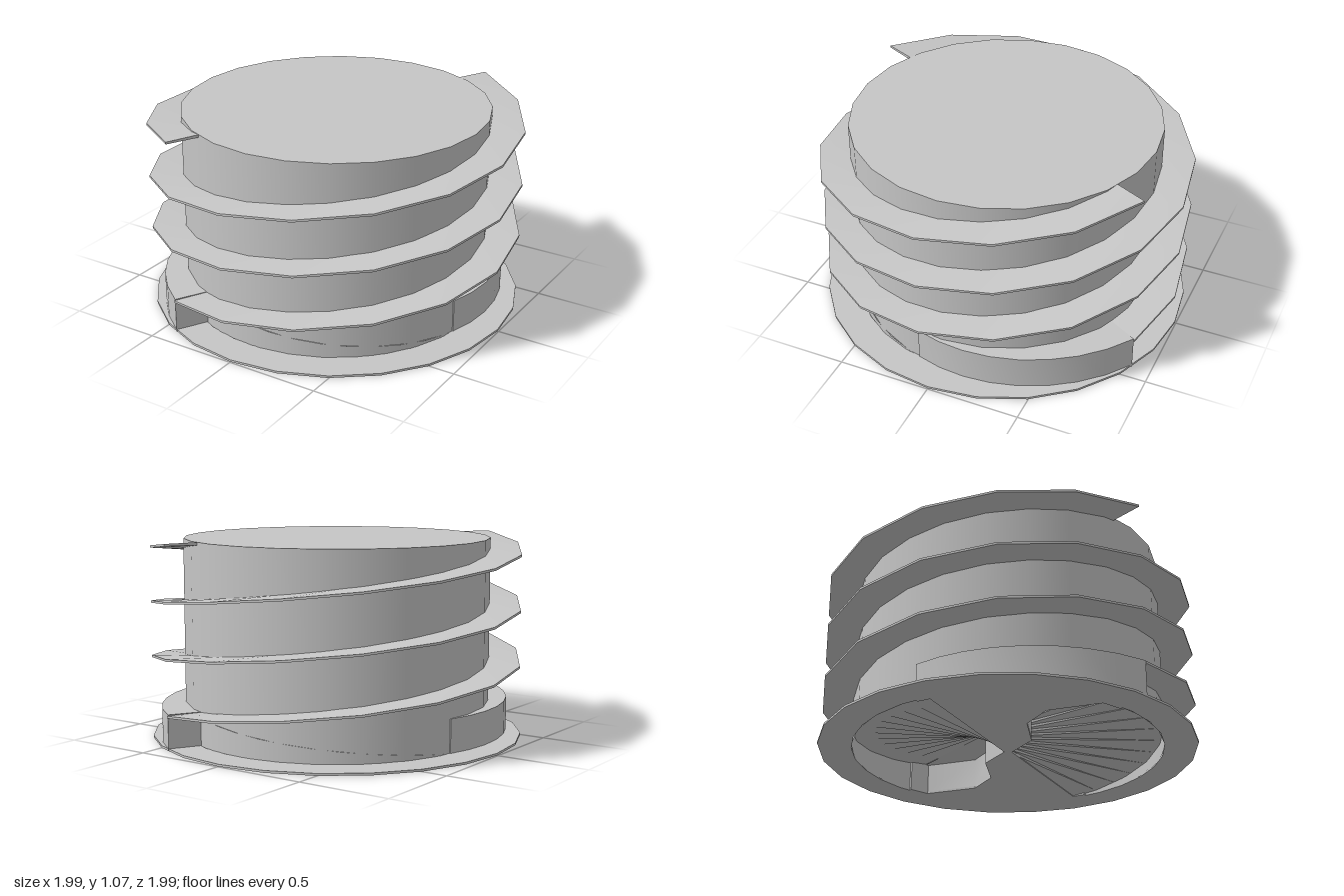
import * as THREE from 'three';
import { toCreasedNormals } from 'three/addons/utils/BufferGeometryUtils.js';

const CORE = 0.82, OUTER = 0.995, HEIGHT = 1.065;
const rad = THREE.MathUtils.degToRad;
// angle 0 is the front, growing towards +x
const polar = (deg, r, y = 0) => [r * Math.sin(rad(deg)), y, r * Math.cos(rad(deg))];

// geometry from a list of four-cornered faces
function quads(faces, crease = 0.5) {
  const pos = [];
  for (const [a, b, c, d] of faces) pos.push(...a, ...b, ...c, ...a, ...c, ...d);
  const geo = new THREE.BufferGeometry();
  geo.setAttribute('position', new THREE.Float32BufferAttribute(pos, 3));
  geo.computeVertexNormals();
  return toCreasedNormals(geo, crease);
}

// flat outline in x and z, extruded upwards
function plate(points, height, holes = []) {
  const v2 = (list) => list.map(([x, , z]) => new THREE.Vector2(x, -z));
  const shape = new THREE.Shape(v2(points));
  for (const h of holes) shape.holes.push(new THREE.Path(v2(h)));
  const geo = new THREE.ExtrudeGeometry(shape, { depth: height, bevelEnabled: false });
  geo.rotateX(-Math.PI / 2);
  return toCreasedNormals(geo, 0.5);
}

function arc(from, to, steps, radius) {
  const out = [];
  for (let i = 0; i <= steps; i++) {
    const t = i / steps;
    out.push(polar(from + (to - from) * t, radius(t)));
  }
  return out;
}

// thin helical blade, one and a half turns
function helixGeometry() {
  const steps = 24, rows = [], faces = [];
  for (let i = 0; i <= steps; i++) {
    const t = i / steps, a = -25 + 540 * t, y = 0.178 + 0.879 * t;
    rows.push([
      polar(a, CORE - 0.03, y - 0.008), polar(a, OUTER, y - 0.006),
      polar(a, OUTER, y + 0.006), polar(a, CORE - 0.03, y + 0.008),
    ]);
  }
  for (let i = 0; i < steps; i++) {
    for (let k = 0; k < 4; k++) {
      const n = (k + 1) % 4;
      faces.push([rows[i][k], rows[i + 1][k], rows[i + 1][n], rows[i][n]]);
    }
  }
  faces.push(rows[0], [...rows[steps]].reverse());
  return quads(faces);
}

export function createModel() {
  const model = new THREE.Group();
  const grey = new THREE.MeshStandardMaterial({ color: 0xc6c6c6, side: THREE.DoubleSide });
  grey.name = 'grey';
  const add = (parent, name, geo) => {
    const mesh = new THREE.Mesh(geo, grey);
    mesh.name = name;
    parent.add(mesh);
    return mesh;
  };

  // core wall and lid
  add(model, 'coreWall', new THREE.CylinderGeometry(CORE, CORE, HEIGHT, 24, 1, true)).position.y = HEIGHT / 2;
  const lid = add(model, 'lid', new THREE.CircleGeometry(CORE, 24).rotateX(-Math.PI / 2));
  lid.position.y = HEIGHT;

  // recess outline under the base: wide arc and a curved inner lip
  const A0 = -31, A1 = 85, DEPTH = 0.17;
  const lip = [[-0.424, 0, 0.707], [-0.445, 0, 0.39], [-0.325, 0, 0.24], [-0.106, 0, 0.177], polar(27, 0.02)];
  const recess = [...arc(A1, A0, 10, () => CORE), ...lip.slice(1)];
  const turned = recess.map(([x, y, z]) => [-x, y, -z]);
  add(model, 'baseDisc', plate(arc(0, 345, 23, () => OUTER), 0.012, [recess, turned]));

  // everything below comes twice, half a turn apart
  for (let side = 0; side < 2; side++) {
    const half = new THREE.Group();
    half.name = side ? 'backHalf' : 'frontHalf';
    half.rotation.y = side * Math.PI;
    model.add(half);

    add(half, 'helicalBlade', helixGeometry());

    // widening scoop shoulder at the foot
    const shoulder = [
      ...arc(-100, -25, 8, (t) => CORE + 0.17 * t),
      ...arc(-24, -100, 8, () => CORE - 0.02),
    ];
    add(half, 'scoopShoulder', plate(shoulder, 0.19));

    // sloping recess roof
    const roof = [], steps = 12;
    for (let i = 0; i < steps; i++) {
      const at = (k, r) => polar(A0 + ((A1 - A0) * k) / steps, r, 0.004 + DEPTH * (1 - k / steps));
      roof.push([at(i, 0.02), at(i + 1, 0.02), at(i + 1, CORE), at(i, CORE)].reverse());
    }
    add(half, 'recessRoof', quads(roof));

    // level roof beside the lip, and the lip wall
    const lifted = (p) => [p[0], DEPTH, p[2]];
    add(half, 'recessLobe', quads([lip.slice(0, 4).map(lifted)]));
    const wall = [];
    for (let i = 0; i < lip.length - 1; i++) {
      wall.push([lip[i], lip[i + 1], lifted(lip[i + 1]), lifted(lip[i])]);
    }
    add(half, 'recessLip', quads(wall, 0.9));
  }
  return model;
}
